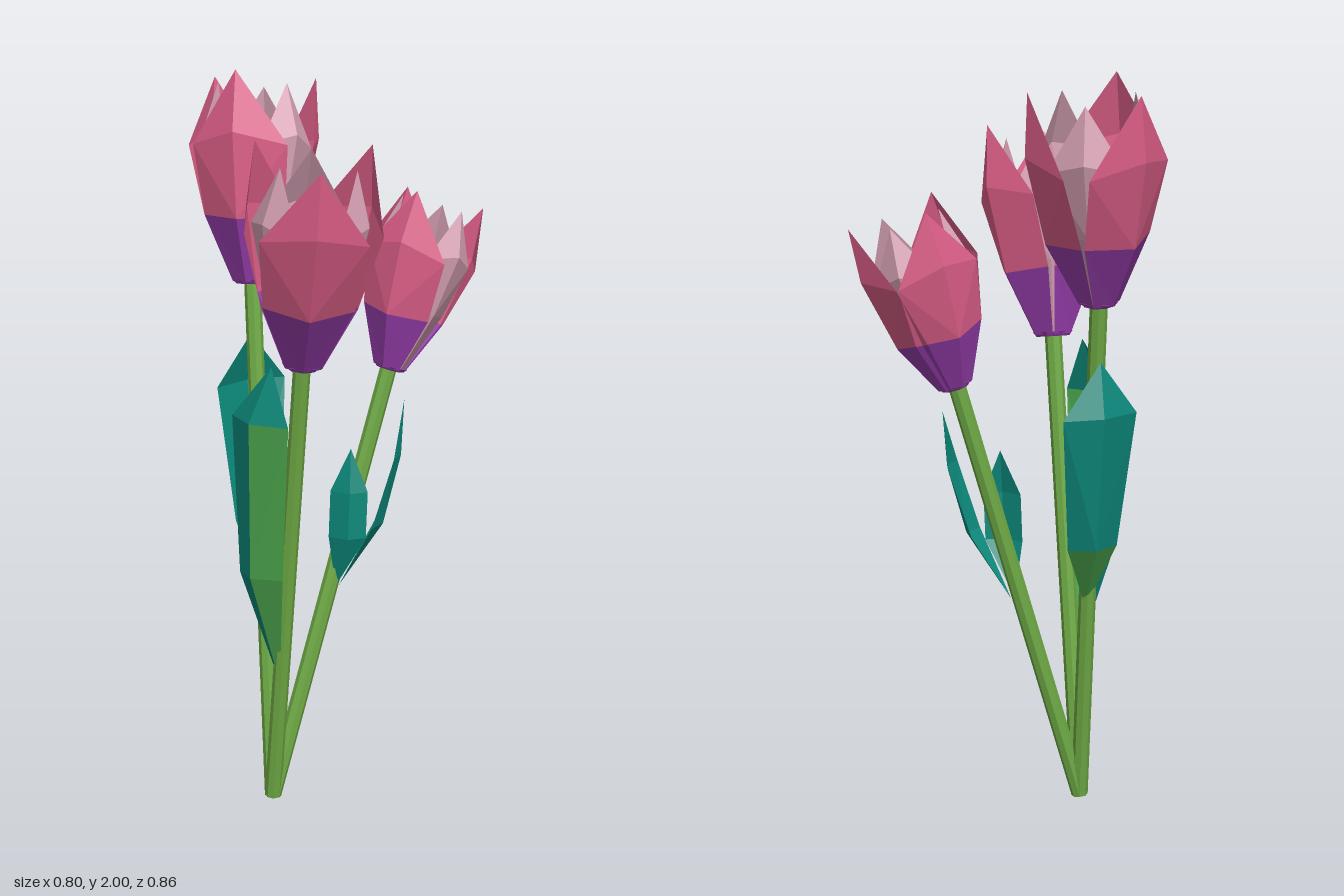
import * as THREE from 'three';

const material = (color) =>
  new THREE.MeshStandardMaterial({ color, flatShading: true, side: THREE.DoubleSide });
const mats = {
  stem: material(0x6fab45), green: material(0x4aa44c), teal: material(0x0d8a7c),
  pink: material(0xe0608a), pale: material(0xdba5b8), purple: material(0x9a3fb0),
};
const v = (x, y, z) => new THREE.Vector3(x, y, z);

// Faceted sheet through rows of three points; pick(row, column) names the colour of each panel
function sheet(name, rows, pick) {
  const group = new THREE.Group();
  group.name = name;
  const panels = {};
  for (let i = 0; i < rows.length - 1; i++) {
    for (let j = 0; j < 2; j++) {
      const list = (panels[pick(i, j)] ??= []);
      const a = rows[i][j], b = rows[i][j + 1], c = rows[i + 1][j + 1], d = rows[i + 1][j];
      // split towards the middle ridge
      const tris = j === 0 ? [a, b, d, b, c, d] : [a, b, c, a, c, d];
      for (let k = 0; k < 6; k += 3) {
        const [p, q, r] = tris.slice(k, k + 3);
        if (!p.equals(q) && !q.equals(r) && !p.equals(r)) list.push(p, q, r);
      }
    }
  }
  for (const [key, points] of Object.entries(panels)) {
    const geo = new THREE.BufferGeometry().setFromPoints(points);
    geo.computeVertexNormals();
    const mesh = new THREE.Mesh(geo, mats[key]);
    mesh.name = `${name} ${key}`;
    group.add(mesh);
  }
  return group;
}

// Petal profile rows: height, radius, half angle in degrees, drop of the side edges
const OUTER = [[0, 0.055, 58, 0], [0.17, 0.138, 57, -0.01], [0.4, 0.183, 48, 0.03], [0.565, 0.17, 0, 0]];
const INNER = [[0, 0.045, 52, 0], [0.2, 0.118, 52, 0], [0.4, 0.153, 42, 0.03], [0.54, 0.11, 0, 0]];

function petal(name, profile, azimuth, pick) {
  const rows = profile.map(([h, r, half, drop]) => [-1, 0, 1].map((s) => {
    const a = THREE.MathUtils.degToRad(azimuth + s * half);
    return v(Math.cos(a) * r, h - Math.abs(s) * drop, Math.sin(a) * r);
  }));
  return sheet(name, rows, pick);
}

function flower(base, axis, outer, inner, scale) {
  const group = new THREE.Group();
  group.name = 'flower';
  for (const a of outer) group.add(petal('outerPetal', OUTER, a, (i) => (i === 0 ? 'purple' : 'pink')));
  for (const a of inner) group.add(petal('innerPetal', INNER, a, () => 'pale'));
  const cup = new THREE.Mesh(new THREE.CylinderGeometry(0.055, 0.045, 0.012, 9), mats.purple);
  cup.name = 'flowerBase';
  group.add(cup);
  group.position.copy(base);
  group.quaternion.setFromUnitVectors(v(0, 1, 0), axis.normalize());
  group.scale.setScalar(scale);
  return group;
}

function stem(from, to) {
  const dir = to.clone().sub(from);
  const mesh = new THREE.Mesh(new THREE.CylinderGeometry(0.023, 0.023, dir.length(), 8), mats.stem);
  mesh.name = 'stem';
  mesh.position.copy(from).addScaledVector(dir, 0.5);
  mesh.quaternion.setFromUnitVectors(v(0, 1, 0), dir.normalize());
  return mesh;
}

// Leaf sections: centre point, half-width (x, z) and centre fold (x, z)
function leaf(sections, pick) {
  const rows = sections.map(([x, y, z, wx = 0, wz = 0, fx = 0, fz = 0]) => [
    v(x - wx, y, z - wz), v(x + fx, y, z + fz), v(x + wx, y, z + wz),
  ]);
  return sheet('leaf', rows, pick);
}

export function createModel() {
  const model = new THREE.Group();
  model.name = 'tulipBunch';
  const root = v(-0.2, 0.01, 0);

  // Stems with their flowers: top of stem, flower axis, azimuths of outer and inner petals, scale
  const blooms = [
    [v(-0.235, 1.43, -0.195), v(0.02, 0.5, -0.08), [-15, 112, 228], [45, 165, 282], 0.98],
    [v(-0.12, 1.28, 0.165), v(0.03, 0.5, 0.09), [-32, 90, 207], [27, 147, 267], 1],
    [v(0.135, 1.2, -0.135), v(0.125, 0.43, -0.04), [-22, 122, 240], [50, 180, 288], 0.85],
  ];
  for (const [top, axis, outer, inner, scale] of blooms) {
    model.add(stem(root, top.clone().add(v(0, 0.015, 0))), flower(top, axis, outer, inner, scale));
  }

  // Leaf of the back stem, green below and teal above
  model.add(leaf([
    [-0.21, 0.58, -0.08],
    [-0.225, 0.77, -0.165, 0.065, -0.03, -0.01, -0.035],
    [-0.24, 1.14, -0.24, 0.095, -0.06, -0.01, -0.03],
    [-0.24, 1.28, -0.23],
  ], (i) => (i === 0 ? 'green' : 'teal')));

  // Leaf of the front stem, one half of each colour
  model.add(leaf([
    [-0.18, 0.36, 0.045],
    [-0.23, 0.69, 0.105, 0.055, 0.045, -0.03, 0.02],
    [-0.23, 1.12, 0.125, 0.07, 0.08, -0.03, 0.025],
    [-0.2, 1.27, 0.145],
  ], (i, j) => (j === 1 && i < 2 ? 'green' : 'teal')));

  // Two leaves of the side stem
  model.add(leaf([
    [-0.02, 0.6, -0.06],
    [0.01, 0.75, -0.03, 0.05, 0.01, 0, 0.025],
    [0.015, 0.88, -0.03, 0.05, 0.01, 0, 0.025],
    [0.02, 1.0, -0.03],
  ], () => 'teal'));
  model.add(leaf([
    [-0.01, 0.6, -0.07],
    [0.085, 0.78, -0.055, 0.01, -0.05, 0.025, 0],
    [0.145, 0.97, -0.07, 0.01, -0.055, 0.015, 0],
    [0.17, 1.12, -0.09],
  ], () => 'teal'));

  return model;
}
